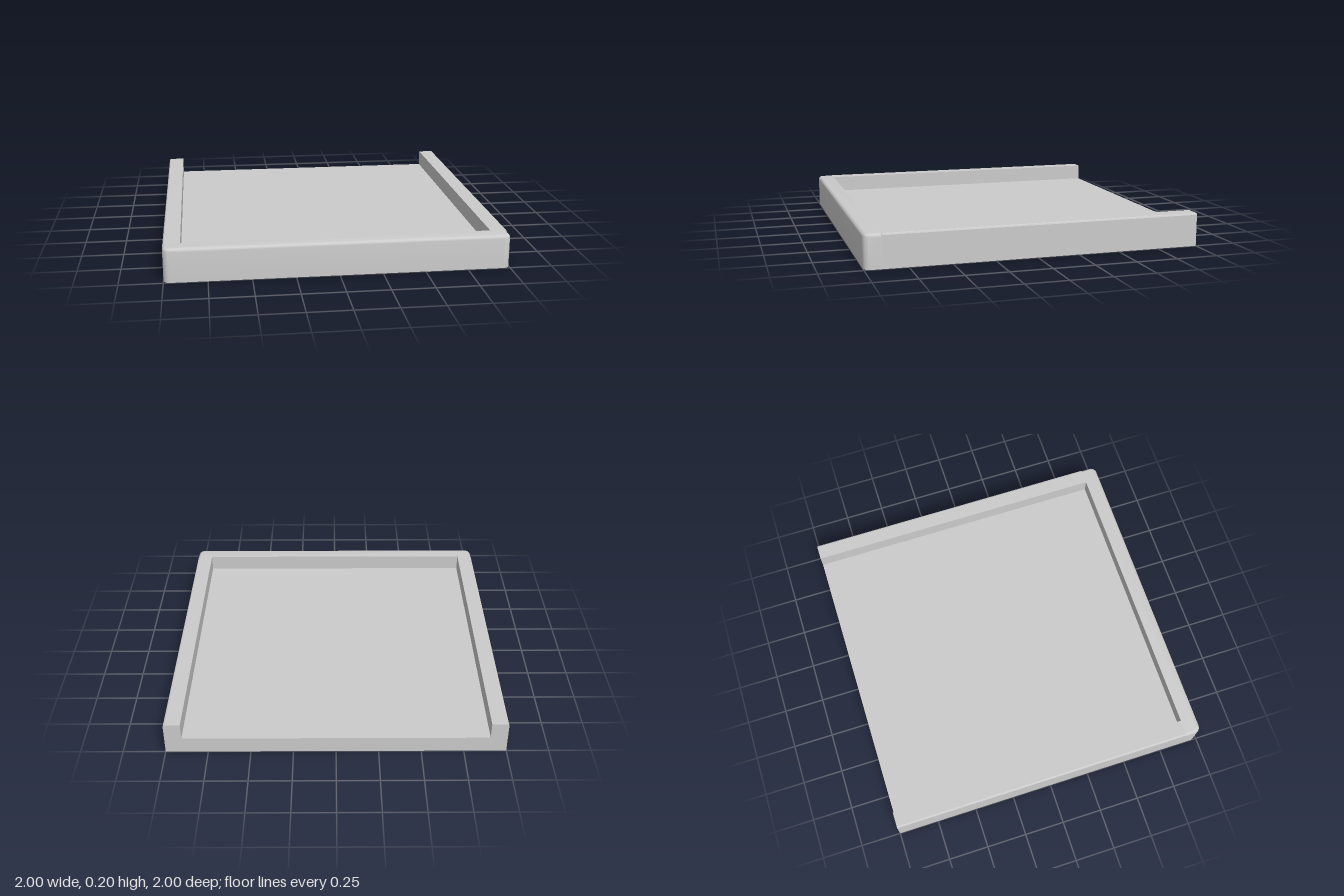
import * as THREE from 'three';
import { toCreasedNormals } from 'three/addons/utils/BufferGeometryUtils.js';

const WALL = 0.1, FLOOR = 0.1, HEIGHT = 0.2, JOIN = 0.9;

// Floor and both side rails: one U-shaped section with eased outer edges
function trayBody() {
  const e = 0.01, inner = 1 - WALL;
  const half = [[inner, FLOOR], [inner, HEIGHT], [1 - e, HEIGHT], [1 - e * 0.3, HEIGHT - e * 0.3], [1, HEIGHT - e], [1, 0]];
  const left = half.map(([x, y]) => new THREE.Vector2(x, y));
  const right = half.map(([x, y]) => new THREE.Vector2(-x, y)).reverse();
  const geo = new THREE.ExtrudeGeometry(new THREE.Shape([...right, ...left].reverse()), { depth: 1 + JOIN, bevelEnabled: false });
  return geo.translate(0, 0, -1);
}

// Plan outline of the front wall, inset by d on its outer sides
function wallOutline(d, y) {
  const pts = [[1 - d, JOIN], [-1 + d, JOIN]];
  const r = 0.04, steps = 6;
  for (const start of [Math.PI, Math.PI / 2]) {
    for (let i = 0; i <= steps; i++) {
      const a = start - (i / steps) * Math.PI / 2;
      const cx = start === Math.PI ? -1 + r : 1 - r;
      pts.push([cx + (r - d) * Math.cos(a), 1 - r + (r - d) * Math.sin(a)]);
    }
  }
  return pts.map(([x, z]) => [x, y, z]);
}

// Front wall: stacked outlines with a rounded top edge, closed by two fans
function frontWallGeometry() {
  const e = 0.02, steps = 5;
  const rings = [wallOutline(0, 0)];
  for (let i = 0; i <= steps; i++) {
    const a = (i / steps) * Math.PI / 2;
    rings.push(wallOutline(e * (1 - Math.cos(a)), HEIGHT - e + e * Math.sin(a)));
  }
  const n = rings[0].length, top = rings.length - 1;
  const verts = rings.flat(2), index = [];
  for (let k = 0; k < top; k++) {
    for (let i = 0; i < n; i++) {
      const j = (i + 1) % n, a = k * n + i, b = k * n + j;
      index.push(a, b, b + n, a, b + n, a + n);
    }
  }
  for (let i = 1; i < n - 1; i++) {
    index.push(0, i + 1, i);
    index.push(top * n, top * n + i, top * n + i + 1);
  }
  const geo = new THREE.BufferGeometry();
  geo.setAttribute('position', new THREE.Float32BufferAttribute(verts, 3));
  geo.setIndex(index);
  return toCreasedNormals(geo, 0.6);
}

export function createModel() {
  const group = new THREE.Group();
  group.name = 'tray';
  const material = new THREE.MeshStandardMaterial({ color: 0xcccccc });
  const add = (name, geometry) => {
    const mesh = new THREE.Mesh(geometry, material);
    mesh.name = name;
    group.add(mesh);
  };
  add('floorAndSideRails', trayBody());
  add('frontWall', frontWallGeometry());
  return group;
}
